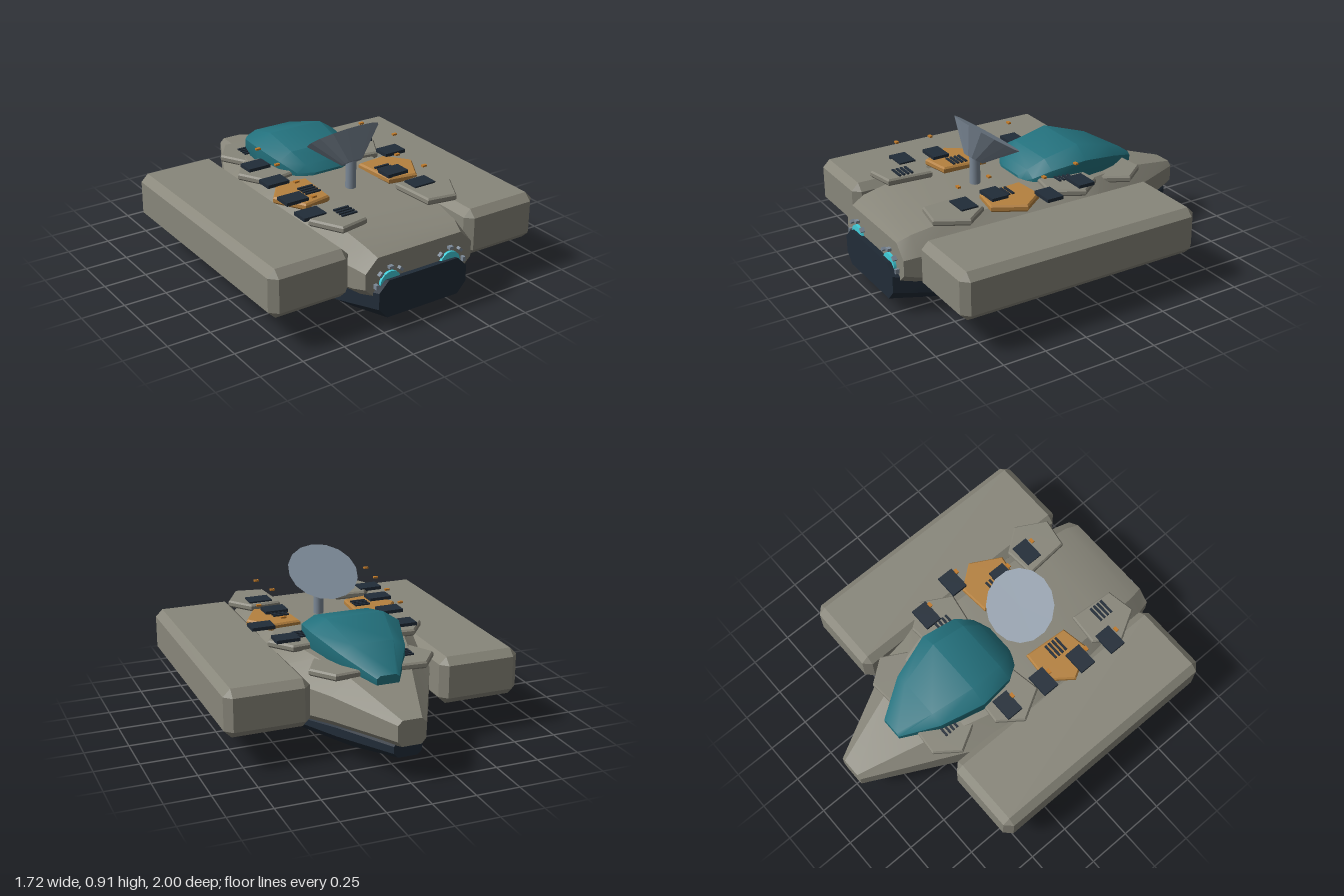
import * as THREE from 'three';
import { toCreasedNormals } from 'three/addons/utils/BufferGeometryUtils.js';
import { ConvexGeometry } from 'three/addons/geometries/ConvexGeometry.js';

const paint = (name, color) => {
  const m = new THREE.MeshStandardMaterial({ color });
  m.name = name;
  return m;
};

// Loft through eight-sided sections, listed front to back as
// [z, bottomHalf, maxHalf, topHalf, yBottom, yLowShoulder, yHighShoulder, yTop]
function loft(sections, crease) {
  const rings = sections.map(([z, b, w, t, y0, y1, y2, y3]) => {
    const half = [[b, y0], [w, y1], [w, y2], [t, y3]];
    const mirrored = half.map(([x, y]) => [-x, y]).reverse();
    return [...half, ...mirrored].map(([x, y]) => [x, y, z]);
  });
  const pos = [];
  const tri = (a, b, c) => pos.push(...a, ...b, ...c);
  for (let r = 0; r < rings.length - 1; r++) {
    const f = rings[r], k = rings[r + 1];
    for (let i = 0; i < 8; i++) {
      const j = (i + 1) % 8;
      tri(f[i], k[i], k[j]);
      tri(f[i], k[j], f[j]);
    }
  }
  const first = rings[0], last = rings[rings.length - 1];
  for (let i = 1; i < 7; i++) {
    tri(first[0], first[i], first[i + 1]);
    tri(last[0], last[i + 1], last[i]);
  }
  const g = new THREE.BufferGeometry();
  g.setAttribute('position', new THREE.Float32BufferAttribute(pos, 3));
  g.computeVertexNormals();
  return toCreasedNormals(g, crease);
}

// Box with every edge chamfered
function chamferBox(w, h, d, c) {
  const pts = [];
  for (const sx of [-1, 1]) for (const sy of [-1, 1]) for (const sz of [-1, 1]) {
    const x = w / 2, y = h / 2, z = d / 2;
    pts.push(
      new THREE.Vector3(sx * x, sy * (y - c), sz * (z - c)),
      new THREE.Vector3(sx * (x - c), sy * y, sz * (z - c)),
      new THREE.Vector3(sx * (x - c), sy * (y - c), sz * z));
  }
  return new ConvexGeometry(pts);
}

export function createModel() {
  const model = new THREE.Group();
  model.name = 'spacecraft';
  const grey = paint('hull grey', 0x88867a);
  const dark = paint('dark navy', 0x212c38);
  const teal = paint('canopy teal', 0x23717d);
  const orange = paint('panel orange', 0xb5813f);
  const slate = paint('dish slate', 0x7c8997);
  const cyan = paint('engine glow cyan', 0x41cedb);
  const lamp = paint('lamp orange', 0xc07a2a);

  const add = (name, geometry, material, x = 0, y = 0, z = 0) => {
    const m = new THREE.Mesh(geometry, material);
    m.name = name;
    m.position.set(x, y, z);
    model.add(m);
    return m;
  };

  // Upper hull, tapering to a narrow rear
  add('hull', loft([
    [0.96, 0.25, 0.345, 0.27, 0.17, 0.26, 0.35, 0.425],
    [0.88, 0.27, 0.365, 0.29, 0.15, 0.24, 0.36, 0.46],
    [0.65, 0.30, 0.42, 0.31, 0.125, 0.22, 0.37, 0.5],
    [0.2, 0.33, 0.51, 0.33, 0.085, 0.2, 0.38, 0.52],
    [-0.1, 0.33, 0.54, 0.34, 0.065, 0.2, 0.38, 0.525],
    [-0.35, 0.27, 0.41, 0.27, 0.1, 0.215, 0.38, 0.505],
    [-0.6, 0.19, 0.285, 0.18, 0.145, 0.235, 0.375, 0.465],
    [-1, 0.055, 0.08, 0.055, 0.215, 0.245, 0.335, 0.36],
  ], 0.35), grey);

  // Dark belly with a blunt front
  add('belly', loft([
    [1, 0.23, 0.285, 0.225, 0.085, 0.145, 0.24, 0.3],
    [0.72, 0.25, 0.36, 0.28, 0.025, 0.1, 0.19, 0.24],
    [-0.15, 0.26, 0.44, 0.33, 0, 0.12, 0.14, 0.2],
    [-0.6, 0.16, 0.255, 0.18, 0.065, 0.14, 0.19, 0.24],
    [-0.955, 0.055, 0.08, 0.06, 0.135, 0.16, 0.2, 0.23],
  ], 0.35), dark);

  // Canopy
  add('canopy', loft([
    [0.1, 0.1, 0.11, 0.08, 0.46, 0.49, 0.51, 0.535],
    [0.06, 0.17, 0.18, 0.12, 0.46, 0.5, 0.54, 0.575],
    [-0.03, 0.22, 0.24, 0.16, 0.46, 0.52, 0.59, 0.635],
    [-0.24, 0.24, 0.265, 0.17, 0.45, 0.53, 0.615, 0.68],
    [-0.49, 0.16, 0.19, 0.12, 0.43, 0.48, 0.56, 0.605],
    [-0.695, 0.045, 0.065, 0.045, 0.42, 0.44, 0.475, 0.49],
  ], 0.6), teal);

  // Side pods
  const podGeo = chamferBox(0.48, 0.275, 1.465, 0.042);
  for (const s of [1, -1])
    add(s > 0 ? 'leftPod' : 'rightPod', podGeo, grey, s * 0.62, 0.3375, 0.16);

  // Dish on its mast, tilted to the rear
  add('mast', new THREE.CylinderGeometry(0.03, 0.03, 0.2, 12), slate, 0, 0.58, 0.328);
  const dishGeo = toCreasedNormals(new THREE.CylinderGeometry(0.208, 0.06, 0.157, 16), 0.2);
  add('dish', dishGeo, slate, 0, 0.729, 0.292).rotation.x = -0.602;

  // Deck plates in mirrored pairs: x shift, base y, z start, material
  const outline = [[0.18, 0.015], [0.365, 0], [0.467, 0.135], [0.37, 0.31], [0.2, 0.28]];
  const plates = [
    [-0.1, 0.46, -0.615, grey], [0, 0.507, -0.24, grey],
    [0, 0.508, 0.135, orange], [0, 0.517, 0.485, grey],
  ];
  for (const [dx, y, z, material] of plates) for (const s of [1, -1]) {
    const shape = new THREE.Shape(outline.map(([px, pz]) => new THREE.Vector2(s * (px + dx), -(pz + z))));
    const g = new THREE.ExtrudeGeometry(shape, {
      depth: 0.02, bevelEnabled: true, bevelSegments: 1,
      bevelThickness: 0.01, bevelSize: 0.008, bevelOffset: -0.008,
    });
    g.rotateX(-Math.PI / 2);
    add('deckPlate', g, material, 0, y + 0.01, 0);
  }

  // Dark deck boxes, each with a small lamp above
  const boxes = [
    [-0.338, -0.13], [-0.364, 0.115], [-0.398, 0.362], [-0.422, 0.567],
    [0.37, -0.13], [0.43, 0.115], [0.265, 0.362], [0.295, 0.567],
  ];
  const boxGeo = new THREE.BoxGeometry(0.137, 0.02, 0.1);
  const lampGeo = new THREE.BoxGeometry(0.028, 0.01, 0.018);
  for (const [x, z] of boxes) {
    add('deckBox', boxGeo, dark, x, 0.556, z);
    add('lamp', lampGeo, lamp, x, 0.669, z + 0.032);
  }

  // Vent slats on some plates: x, plate top, first slat z
  const vents = [
    [-0.195, 0.5, -0.49], [0.255, 0.547, -0.122], [-0.258, 0.548, 0.264],
    [0.258, 0.548, 0.264], [-0.258, 0.557, 0.61],
  ];
  const slatGeo = new THREE.BoxGeometry(0.095, 0.012, 0.013);
  for (const [x, y, z] of vents)
    for (let i = 0; i < 4; i++) add('ventSlat', slatGeo, dark, x, y + 0.003, z + i * 0.0255);

  // Glowing engines ringed with small lugs
  const glowGeo = new THREE.CylinderGeometry(0.066, 0.066, 0.03, 20);
  glowGeo.rotateX(Math.PI / 2);
  const lugGeo = new THREE.BoxGeometry(0.026, 0.016, 0.03);
  for (const s of [1, -1]) {
    add('engineGlow', glowGeo, cyan, s * 0.195, 0.268, 0.96);
    for (let i = 0; i < 8; i++) {
      const a = (i * Math.PI) / 4;
      const lug = add('engineLug', lugGeo, slate,
        s * 0.195 + Math.cos(a) * 0.09, 0.268 + Math.sin(a) * 0.09, 0.968);
      lug.rotation.z = a + Math.PI / 2;
    }
  }
  return model;
}
